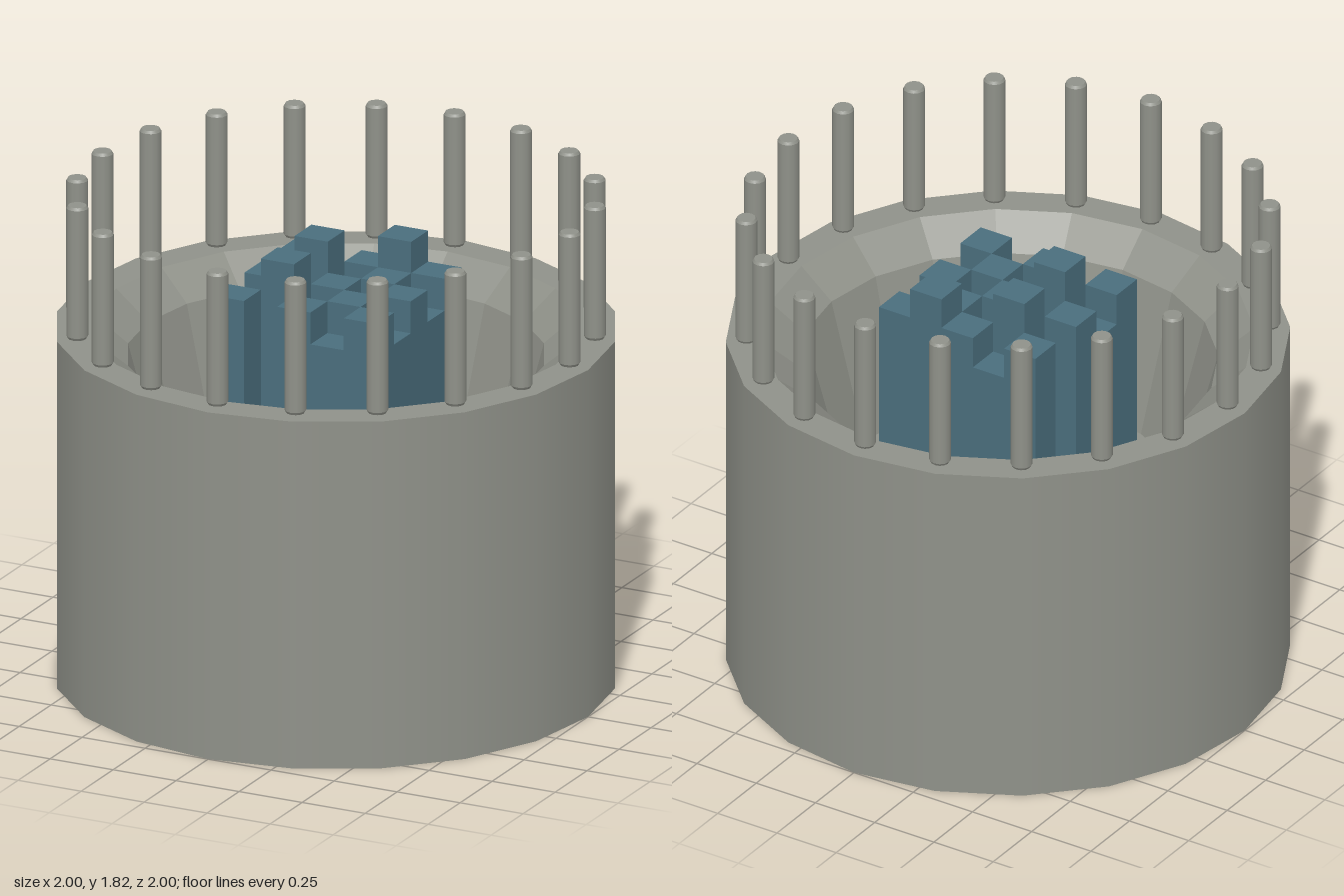
import * as THREE from 'three';

const SIDES = 20;
const WALL_TOP = 1.305;
const FLOOR = 0.67;

const grey = new THREE.MeshStandardMaterial({ color: 0x8f9189, side: THREE.DoubleSide });
grey.name = 'stone grey';
const blue = new THREE.MeshStandardMaterial({ color: 0x4a6e7d });
blue.name = 'slate blue';

function addMesh(parent, name, geometry, material) {
  const mesh = new THREE.Mesh(geometry, material);
  mesh.name = name;
  parent.add(mesh);
  return mesh;
}

const profile = (points) => points.map(([r, y]) => new THREE.Vector2(r, y));

export function createModel() {
  const model = new THREE.Group();
  model.name = 'tower';

  // Smooth outer wall, open underneath
  const wall = new THREE.CylinderGeometry(1, 1, WALL_TOP, SIDES, 1, true);
  wall.translate(0, WALL_TOP / 2, 0);
  addMesh(model, 'outerWall', wall, grey);

  // Rim, sloped ledge, steep pit side and floor, with flat facets
  const basin = new THREE.LatheGeometry(profile([
    [1, WALL_TOP], [0.872, WALL_TOP], [0.745, 1.2], [0.605, FLOOR], [0, FLOOR],
  ]), SIDES).toNonIndexed();
  basin.computeVertexNormals();
  addMesh(model, 'basin', basin, grey);

  // Ring of posts with small chamfers
  const posts = new THREE.Group();
  posts.name = 'posts';
  model.add(posts);
  const postGeometry = new THREE.CylinderGeometry(0.039, 0.039, 0.48, 12, 1, true);
  const chamferGeometry = new THREE.CylinderGeometry(0.033, 0.039, 0.01, 12);
  for (let i = 0; i < SIDES; i++) {
    const a = (i / SIDES) * Math.PI * 2;
    const post = new THREE.Group();
    post.name = 'post';
    post.position.set(0.927 * Math.sin(a), 1.565, 0.927 * Math.cos(a));
    addMesh(post, 'postShaft', postGeometry, grey);
    addMesh(post, 'postTop', chamferGeometry, grey).position.y = 0.245;
    const foot = addMesh(post, 'postFoot', chamferGeometry, grey);
    foot.position.y = -0.245;
    foot.rotation.x = Math.PI;
    posts.add(post);
  }

  // Cluster of square columns: rows run back to front, 0 leaves a gap
  const levels = [0, 1.355, 1.475, 1.592];
  const heights = [
    [2, 1, 2, 3, 2],
    [0, 3, 1, 2, 1],
    [2, 1, 2, 1, 2],
    [1, 3, 1, 2, 1],
    [2, 0, 2, 1, 2],
  ];
  const cell = 0.132;
  const cluster = new THREE.Group();
  cluster.name = 'columnCluster';
  model.add(cluster);
  heights.forEach((row, r) => row.forEach((level, c) => {
    if (!level) return;
    const h = levels[level] - FLOOR;
    addMesh(cluster, 'column', new THREE.BoxGeometry(cell, h, cell), blue)
      .position.set((c - 2) * cell, FLOOR + h / 2, (r - 2) * cell);
  }));

  return model;
}
